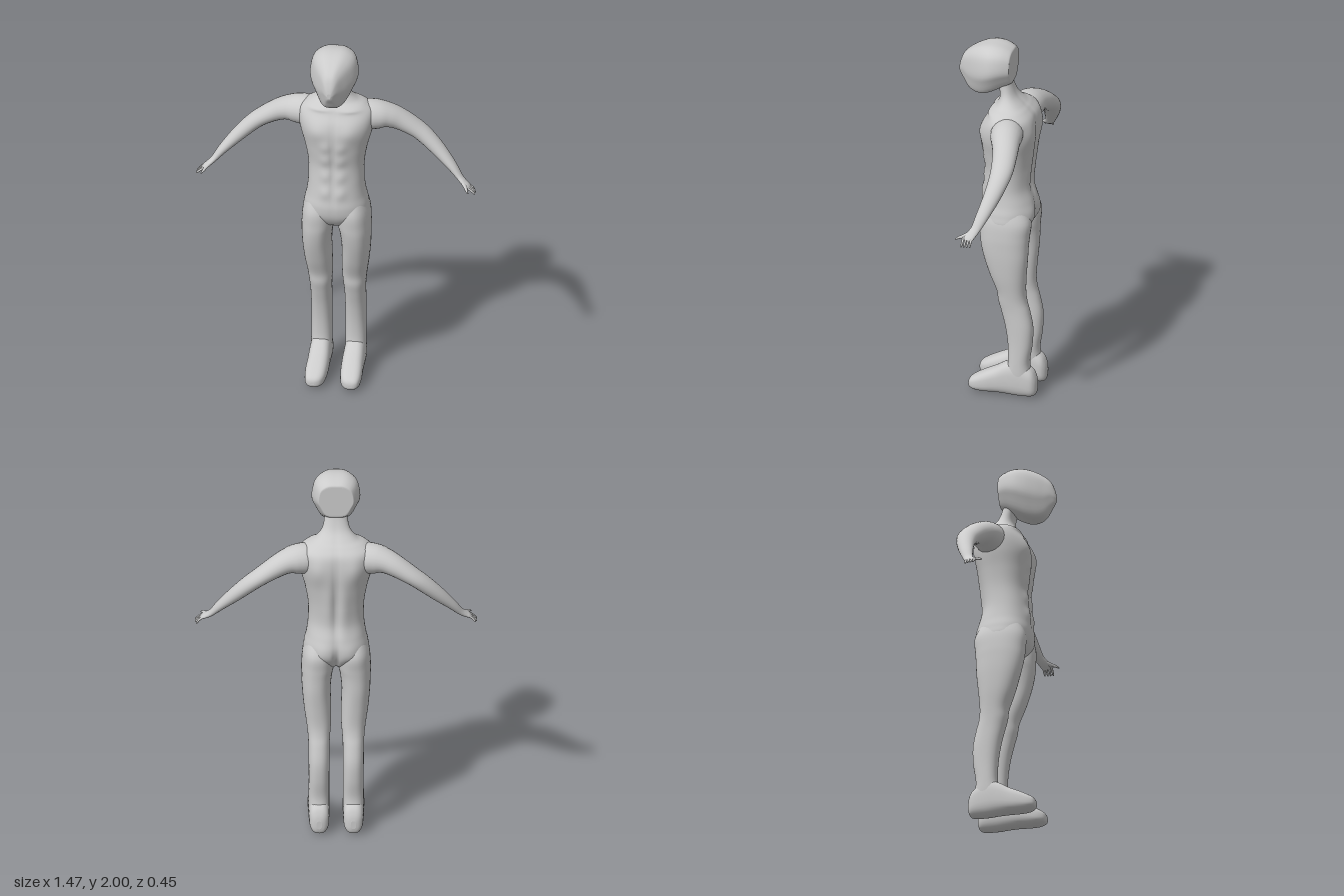
import * as THREE from 'three';

const material = new THREE.MeshStandardMaterial({ color: 0xcccccc, side: THREE.DoubleSide });
const V = (x, y, z) => new THREE.Vector3(x, y, z);

// Smoothly resample a table of rows (Catmull-Rom on every column)
function smooth(rows, steps) {
  const out = [], last = rows.length - 1;
  const row = i => rows[Math.min(Math.max(i, 0), last)];
  for (let k = 0; k <= last * steps; k++) {
    const i = Math.min(Math.floor(k / steps), last - 1), t = k / steps - i;
    out.push(row(i).map((b, c) => {
      const a = row(i - 1)[c], d = row(i + 1)[c], e = row(i + 2)[c];
      return b + 0.5 * t * (d - a + t * (2 * a - 5 * b + 4 * d - e + t * (3 * (b - d) + e - a)));
    }));
  }
  return out;
}

// Unit superellipse outline; power 2 is a circle, higher is boxier
function outline(n, power = 2) {
  const f = v => Math.sign(v) * Math.pow(Math.abs(v), 2 / power);
  return Array.from({ length: n }, (_, i) => {
    const a = (i / n) * Math.PI * 2;
    return [f(Math.cos(a)), f(Math.sin(a))];
  });
}

// Skin a list of equal rings, with separate flat caps, facing outwards
function skin(name, rings, side = 1) {
  const n = rings[0].length, pos = [], idx = [];
  const put = p => pos.push(p.x * side, p.y, p.z);
  rings.forEach(r => r.forEach(put));
  for (let j = 0; j < rings.length - 1; j++) for (let i = 0; i < n; i++) {
    const a = j * n + i, b = j * n + (i + 1) % n;
    idx.push(a, b, a + n, b, b + n, a + n);
  }
  [rings[0], rings[rings.length - 1]].forEach((ring, end) => {
    const base = pos.length / 3;
    ring.forEach(put);
    put(ring.reduce((s, p) => s.add(p), V(0, 0, 0)).divideScalar(n));
    for (let i = 0; i < n; i++) {
      const a = base + i, b = base + (i + 1) % n;
      idx.push(...(end ? [a, b, base + n] : [b, a, base + n]));
    }
  });
  // reverse the winding when the enclosed volume is negative
  const at = i => V(pos[3 * i], pos[3 * i + 1], pos[3 * i + 2]);
  let volume = 0;
  for (let i = 0; i < idx.length; i += 3) volume += at(idx[i]).dot(at(idx[i + 1]).cross(at(idx[i + 2])));
  if (volume < 0) idx.reverse();
  const g = new THREE.BufferGeometry();
  g.setAttribute('position', new THREE.Float32BufferAttribute(pos, 3));
  g.setIndex(idx);
  g.computeVertexNormals();
  const mesh = new THREE.Mesh(g, material);
  mesh.name = name;
  return mesh;
}

// Limb along a path of rows [x, y, z, halfDepth, halfThickness]
function limb(name, rows, side, steps = 6, n = 24) {
  const r = smooth(rows, steps), shape = outline(n);
  const c = r.map(p => V(p[0], p[1], p[2]));
  return skin(name, r.map((p, i) => {
    const t = c[Math.min(i + 1, c.length - 1)].clone().sub(c[Math.max(i - 1, 0)]).normalize();
    const v = V(0, 0, 1).cross(t).normalize(), u = t.clone().cross(v);
    return shape.map(([a, b]) => c[i].clone().addScaledVector(u, a * p[3]).addScaledVector(v, b * p[4]));
  }), side);
}

const bump = (d, width) => Math.exp(-(d * d) / (width * width));

// Muscle relief of the torso, as an offset in z
function relief(x, y, front) {
  const ax = Math.abs(x), spot = (cx, cy, w, h) => bump(ax - cx, w) * bump(y - cy, h);
  if (front) {
    let d = 0.012 * spot(0.085, 1.525, 0.06, 0.055) + 0.008 * spot(0.09, 1.635, 0.06, 0.012);
    for (const cy of [1.16, 1.255, 1.35, 1.43]) d += 0.009 * spot(0.042, cy, 0.03, 0.036);
    return d - 0.007 * bump(x, 0.01) * bump(y - 1.35, 0.25);
  }
  return -0.014 * spot(0.1, 1.53, 0.05, 0.08) - 0.008 * spot(0.045, 1.3, 0.03, 0.16)
    - 0.012 * spot(0.075, 1.04, 0.05, 0.06) + 0.014 * bump(x, 0.016) * bump(y - 1.35, 0.24)
    + 0.03 * bump(x, 0.014) * bump(y - 0.98, 0.07);
}

function torso() {
  // [y, half width, front z, back z]
  const rows = smooth([
    [0.925, 0.03, 0.0, -0.1], [0.95, 0.1, 0.05, -0.14], [1.0, 0.168, 0.085, -0.18],
    [1.06, 0.168, 0.097, -0.19], [1.12, 0.155, 0.092, -0.183], [1.2, 0.146, 0.083, -0.164],
    [1.3, 0.147, 0.076, -0.17], [1.4, 0.164, 0.087, -0.184], [1.49, 0.188, 0.094, -0.195],
    [1.56, 0.2, 0.082, -0.194], [1.61, 0.195, 0.058, -0.183], [1.645, 0.155, 0.04, -0.155],
    [1.67, 0.11, 0.015, -0.127], [1.71, 0.076, 0.0, -0.09], [1.76, 0.062, 0.01, -0.068], [1.83, 0.06, 0.05, -0.05],
  ], 7);
  const shape = outline(80, 2.25);
  return skin('torsoAndNeck', rows.map(([y, w, zf, zb]) => shape.map(([a, b]) => {
    const x = a * w, face = Math.min(1, Math.abs(b) * 1.6);
    return V(x, y, (zf + zb) / 2 + b * (zf - zb) / 2 + relief(x, y, b > 0) * face);
  })));
}

function head() {
  // half outline of a cross-section from crown to chin, faceted at the brow
  const half = smooth([[0, 1], [0.45, 0.97], [0.84, 0.72], [0.98, 0.3], [1, -0.1], [0.86, -0.42], [0.64, -0.82], [0.4, -0.97], [0, -1]], 3);
  const shape = [...half, ...half.slice(1, -1).reverse().map(([a, b]) => [-a, b])];
  // [z, half width, top, bottom]
  const rows = smooth([
    [-0.068, 0.088, 1.962, 1.8], [-0.062, 0.095, 1.975, 1.785], [-0.02, 0.116, 1.993, 1.765],
    [0.03, 0.126, 2.0, 1.735], [0.08, 0.115, 1.993, 1.712], [0.13, 0.089, 1.973, 1.709],
    [0.17, 0.062, 1.948, 1.728], [0.2, 0.04, 1.918, 1.77], [0.218, 0.023, 1.875, 1.795], [0.226, 0.01, 1.84, 1.81],
  ], 4);
  return skin('head', rows.map(([z, w, top, low]) =>
    shape.map(([a, b]) => V(a * w, (top + low) / 2 + b * (top - low) / 2, z))));
}

function leg(side) {
  // [y, inner x, outer x, front z, back z]
  const rows = smooth([
    [1.1, 0.02, 0.15, 0.06, -0.15], [1.02, 0.006, 0.174, 0.085, -0.188], [0.94, 0.008, 0.181, 0.083, -0.183],
    [0.88, 0.02, 0.181, 0.077, -0.178], [0.8, 0.028, 0.178, 0.059, -0.174], [0.7, 0.026, 0.169, 0.028, -0.165],
    [0.61, 0.026, 0.156, -0.006, -0.16], [0.55, 0.03, 0.149, -0.014, -0.166], [0.49, 0.034, 0.145, -0.03, -0.182],
    [0.4, 0.035, 0.144, -0.052, -0.199], [0.3, 0.036, 0.143, -0.066, -0.196], [0.2, 0.036, 0.144, -0.068, -0.182],
    [0.13, 0.036, 0.144, -0.055, -0.19], [0.06, 0.04, 0.14, -0.055, -0.195],
  ], 5);
  const shape = outline(36, 2.3);
  return skin('leg', rows.map(([y, xi, xo, zf, zb]) => shape.map(([a, b]) =>
    V((xi + xo) / 2 + a * (xo - xi) / 2, y, (zf + zb) / 2 + b * (zf - zb) / 2))), side);
}

function foot(side) {
  // [z, centre x, half width, top y, sole y]
  const rows = smooth([
    [-0.223, 0.089, 0.014, 0.085, 0.04], [-0.215, 0.089, 0.034, 0.12, 0.015], [-0.19, 0.089, 0.05, 0.16, 0.004],
    [-0.12, 0.09, 0.055, 0.2, 0.0], [-0.06, 0.09, 0.056, 0.185, 0.003], [0.0, 0.09, 0.057, 0.148, 0.004],
    [0.05, 0.092, 0.057, 0.122, 0.002], [0.1, 0.094, 0.052, 0.094, 0.004], [0.13, 0.097, 0.04, 0.074, 0.012],
    [0.142, 0.099, 0.025, 0.06, 0.02], [0.146, 0.1, 0.01, 0.047, 0.03],
  ], 4);
  const shape = outline(32, 2.7);
  return skin('foot', rows.map(([z, cx, w, top, low]) => shape.map(([a, b]) =>
    V(cx + a * w, (top + low) / 2 + b * (top - low) / 2, z))), side);
}

function arm(side) {
  const group = new THREE.Group();
  group.name = side > 0 ? 'leftArm' : 'rightArm';
  // upper arm, forearm and palm
  group.add(limb('armAndPalm', [
    [0.08, 1.55, -0.07, 0.06, 0.06], [0.15, 1.56, -0.08, 0.083, 0.08], [0.21, 1.56, -0.092, 0.083, 0.077],
    [0.26, 1.552, -0.105, 0.074, 0.064], [0.32, 1.525, -0.12, 0.066, 0.055], [0.4, 1.475, -0.13, 0.06, 0.046],
    [0.46, 1.428, -0.126, 0.053, 0.043], [0.53, 1.362, -0.109, 0.044, 0.037], [0.6, 1.29, -0.083, 0.034, 0.026],
    [0.645, 1.237, -0.062, 0.026, 0.017], [0.67, 1.215, -0.047, 0.027, 0.014], [0.69, 1.202, -0.037, 0.028, 0.011],
    [0.704, 1.191, -0.033, 0.024, 0.006],
  ], side));
  // four fingers and a thumb
  for (let i = 0; i < 4; i++) {
    const z = -0.054 + i * 0.0145, tip = i === 0 ? 0.728 : 0.734;
    group.add(limb('finger', [[0.688, 1.203, z, 0.007, 0.007], [0.712, 1.187, z, 0.006, 0.006],
      [tip - 0.004, 1.171, z, 0.005, 0.005], [tip, 1.165, z, 0.002, 0.002]], side, 3, 10));
  }
  group.add(limb('thumb', [[0.67, 1.214, -0.03, 0.012, 0.01], [0.685, 1.205, -0.006, 0.01, 0.008],
    [0.693, 1.199, 0.014, 0.007, 0.007], [0.704, 1.19, 0.031, 0.003, 0.003]], side, 4, 12));
  return group;
}

export function createModel() {
  const model = new THREE.Group();
  model.name = 'figure';
  model.add(torso(), head());
  for (const side of [1, -1]) {
    const lower = new THREE.Group();
    lower.name = side > 0 ? 'leftLeg' : 'rightLeg';
    lower.add(leg(side), foot(side));
    model.add(lower, arm(side));
  }
  return model;
}
